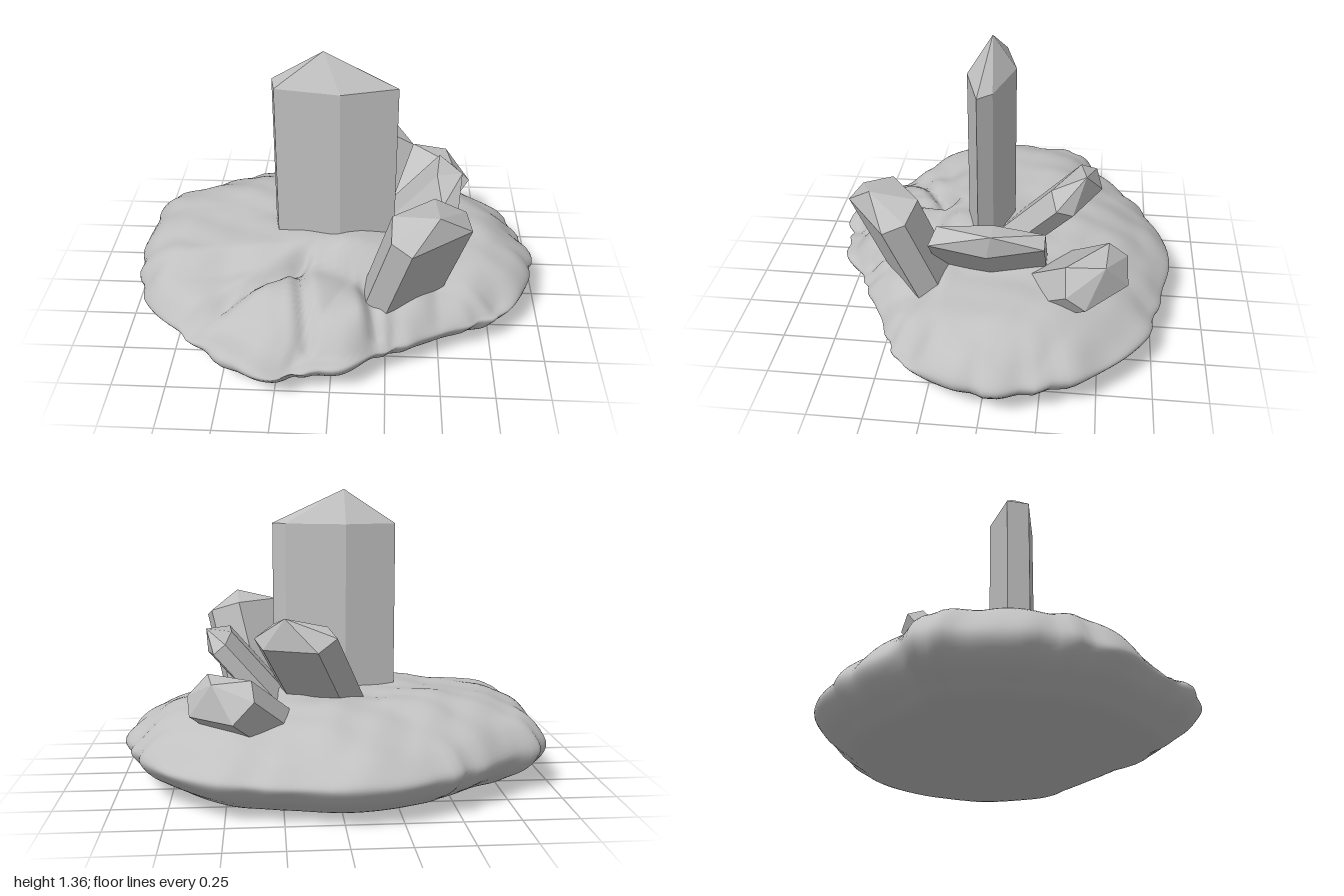
import * as THREE from 'three';

const mineral = new THREE.MeshStandardMaterial({ color: 0xc0c0c0 });
mineral.name = 'paleGreyMineral';

// Six-sided prism with a pointed cap. Footprint is (u, v) across the axis at the shoulder.
function crystal(name, shoulder, axis, length, tip, footprint) {
  const c = new THREE.Vector3(...shoulder);
  const a = new THREE.Vector3(...axis).normalize();
  const u = new THREE.Vector3().crossVectors(a, new THREE.Vector3(0, 1, 0));
  if (u.length() < 0.01) u.set(1, 0, 0);
  u.normalize();
  const v = new THREE.Vector3().crossVectors(u, a);
  const top = footprint.map(([s, t]) => c.clone().addScaledVector(u, s).addScaledVector(v, t));
  const low = top.map((p) => p.clone().addScaledVector(a, -length));
  const apex = c.clone().addScaledVector(u, tip[0]).addScaledVector(v, tip[1]).addScaledVector(a, tip[2]);
  const foot = c.clone().addScaledVector(a, -length);
  const tris = [];
  for (let i = 0; i < 6; i++) {
    const j = (i + 1) % 6;
    tris.push(low[i], top[i], low[j], low[j], top[i], top[j]);
    tris.push(top[i], apex, top[j], low[j], foot, low[i]);
  }
  const g = new THREE.BufferGeometry().setFromPoints(tris);
  g.computeVertexNormals();
  const mesh = new THREE.Mesh(g, mineral);
  mesh.name = name;
  return mesh;
}

function seeded(seed) {
  return () => {
    seed = (seed * 16807) % 2147483647;
    return seed / 2147483647;
  };
}

// Distance from (x, z) to a line segment on the ground plan
function segDist(x, z, [ax, az, bx, bz]) {
  const dx = bx - ax, dz = bz - az;
  const t = THREE.MathUtils.clamp(((x - ax) * dx + (z - az) * dz) / (dx * dx + dz * dz), 0, 1);
  return Math.hypot(x - ax - dx * t, z - az - dz * t);
}

// Lumpy rock: an irregular outline swept through a flattened profile, then swollen into lobes
function rockBase() {
  const outline = new THREE.CatmullRomCurve3([
    [0.98, -0.05], [0.93, 0.15], [0.82, 0.36], [0.65, 0.45], [0.48, 0.54], [0.32, 0.62], [0.18, 0.69],
    [0.05, 0.78], [-0.15, 0.82], [-0.3, 0.86], [-0.45, 0.78], [-0.68, 0.6], [-0.86, 0.43],
    [-0.95, 0.25], [-0.98, 0], [-0.98, -0.2], [-0.93, -0.39], [-0.76, -0.5], [-0.6, -0.62],
    [-0.4, -0.75], [-0.05, -0.84], [0.3, -0.78], [0.6, -0.69], [0.82, -0.48], [0.93, -0.25],
  ].map(([x, z]) => new THREE.Vector3(x, 0, z)), true);
  const profile = new THREE.SplineCurve([
    [0, 0.43], [0.3, 0.425], [0.52, 0.415], [0.7, 0.39], [0.83, 0.35], [0.93, 0.29], [1, 0.2],
    [0.96, 0.12], [0.87, 0.06], [0.74, 0.01], [0.4, 0], [0, 0],
  ].map(([r, y]) => new THREE.Vector2(r, y)));
  const gullies = [[-0.15, 0.28, -0.65, 0.6], [-0.17, 0.3, -0.1, 0.7], [0.15, 0.38, 0.2, 0.6]];
  const step = THREE.MathUtils.smoothstep;
  const rnd = seeded(77);
  const lobes = [];
  for (let i = 0; i < 70; i++) {
    const t = rnd() * Math.PI * 2, r = Math.sqrt(rnd());
    lobes.push([r * Math.cos(t), rnd() * 0.4, r * 0.85 * Math.sin(t)]);
  }

  const rings = 56, sides = 160, pos = [], idx = [];
  for (let i = 0; i <= rings; i++) {
    const p = profile.getPoint(i / rings);
    for (let j = 0; j < sides; j++) {
      const o = outline.getPoint(j / sides);
      const x = o.x * p.x, z = o.z * p.x;
      let y = p.y;
      const upper = step(y, 0.12, 0.32);
      const front = step(z, 0.2, 0.36);
      let d = 1;
      for (const [lx, ly, lz] of lobes) d = Math.min(d, Math.hypot(x - lx, y - ly, z - lz));
      const swell = (0.15 - d) * (0.1 + 0.25 * front);
      const ripple = 0.01 * Math.sin(9 * x + 4 * z) * Math.cos(8 * z - 3 * x + 1)
        + 0.005 * Math.sin(23 * x - 11 * z) * Math.sin(19 * z + 7 * x);
      // the front and back fall away, the left side stands higher, a mound rises by the main crystal
      y += upper * (swell + ripple - 0.06 * front - 0.05 * step(-z, 0.3, 0.7) - 0.025 * x
        + 0.05 * Math.exp(-((x - 0.1) ** 2 + (z - 0.2) ** 2) / 0.02));
      for (const s of gullies) y -= 0.05 * upper * Math.exp(-((segDist(x, z, s) / 0.035) ** 2));
      // ragged rim
      const rim = step(p.x, 0.7, 1);
      const k = 1 + rim * (0.3 * swell + 0.01 * Math.sin(j * 0.9 + 2 * Math.sin(j * 0.37) + 5 * y));
      pos.push(x * k, Math.max(0, y), z * k);
    }
  }
  for (let i = 0; i < rings; i++) {
    for (let j = 0; j < sides; j++) {
      const a = i * sides + j, b = i * sides + (j + 1) % sides;
      idx.push(a, b + sides, a + sides, a, b, b + sides);
    }
  }
  const g = new THREE.BufferGeometry();
  g.setAttribute('position', new THREE.Float32BufferAttribute(pos, 3));
  g.setIndex(idx);
  g.computeVertexNormals();
  const mesh = new THREE.Mesh(g, mineral);
  mesh.name = 'rockBase';
  return mesh;
}

export function createModel() {
  const group = new THREE.Group();
  group.name = 'crystalCluster';
  group.add(
    rockBase(),
    crystal('mainCrystal', [-0.01, 1.2, 0.045], [0, 1, 0], 0.95, [-0.05, 0, 0.16],
      [[0.29, 0.035], [0.03, 0.11], [-0.27, 0.06], [-0.29, -0.045], [-0.05, -0.11], [0.23, -0.03]]),
    crystal('frontCrystal', [0.43, 0.735, 0.49], [0.24, 1, 0.31], 0.55, [0, -0.02, 0.1],
      [[0.21, 0.01], [0.12, 0.13], [-0.12, 0.13], [-0.21, 0.01], [-0.17, -0.09], [0.17, -0.09]]),
    crystal('sideCrystal', [0.54, 0.64, 0.005], [0.66, 0.76, 0], 0.48, [-0.02, 0, 0.09],
      [[0.26, -0.03], [0.23, 0.06], [-0.02, 0.08], [-0.25, 0.05], [-0.25, -0.02], [0, -0.07]]),
    crystal('backCrystal', [0.19, 0.72, -0.37], [0.44, 1, -0.77], 0.58, [0.02, 0.02, 0.11],
      [[0.2, -0.02], [0.14, 0.07], [-0.13, 0.08], [-0.2, 0.02], [-0.14, -0.07], [0.13, -0.08]]),
    crystal('backSideCrystal', [0.52, 0.48, -0.48], [0.57, 0.58, -0.57], 0.5, [0, 0.03, 0.08],
      [[0.2, -0.02], [0.14, 0.1], [-0.13, 0.11], [-0.2, 0.02], [-0.14, -0.1], [0.13, -0.11]]),
  );
  return group;
}
